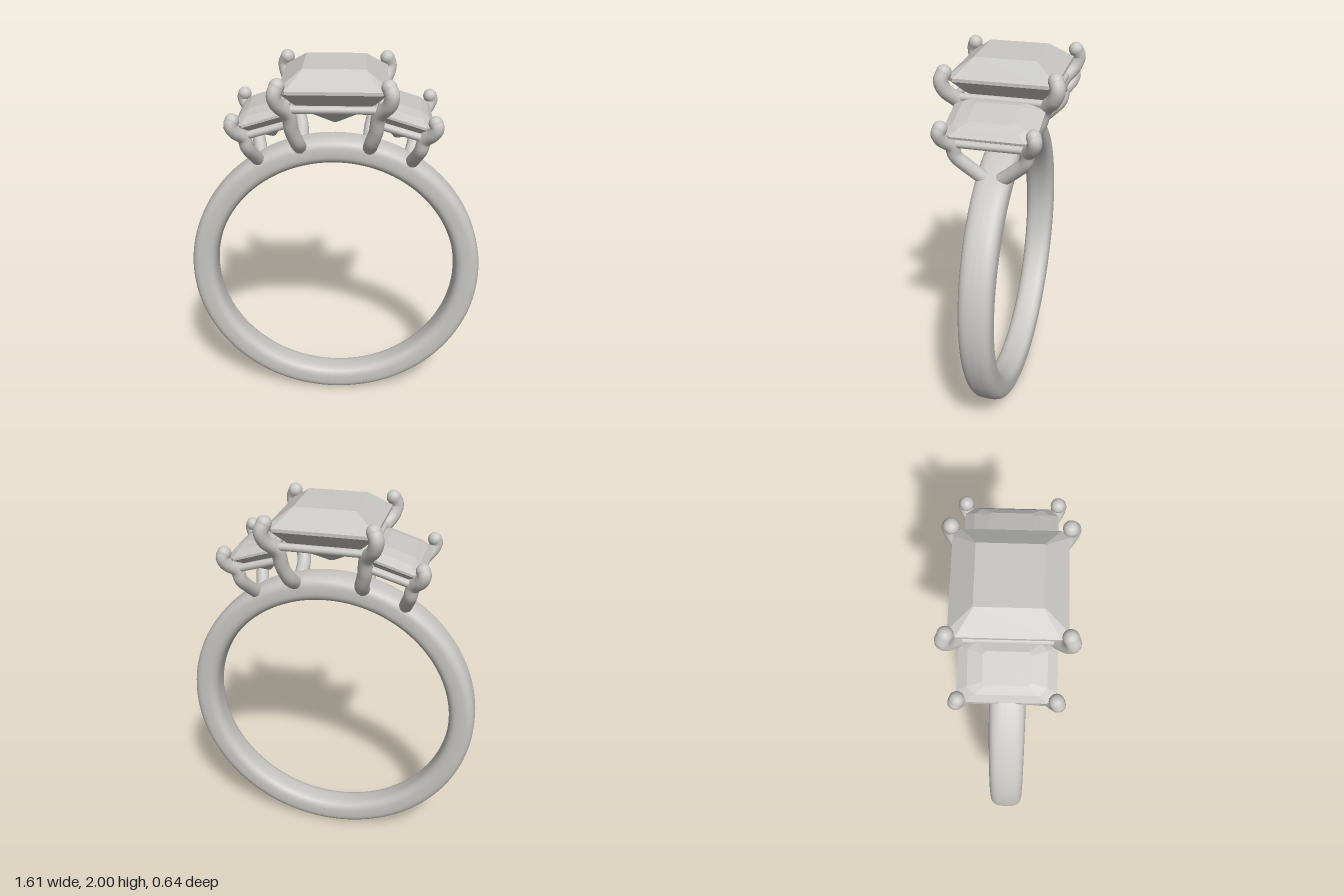
import * as THREE from 'three';

const metal = new THREE.MeshStandardMaterial({ color: 0xc8c7c3 });
metal.name = 'silver grey';

function addMesh(parent, name, geometry) {
  const mesh = new THREE.Mesh(geometry, metal);
  mesh.name = name;
  parent.add(mesh);
  return mesh;
}

// Band: rounded profile revolved, slightly wider towards the top
function bandGeometry() {
  const profile = [], n = 40;
  const power = (v) => Math.sign(v) * Math.pow(Math.abs(v), 2 / 3);
  for (let i = 0; i <= n; i++) {
    const a = (i / n) * Math.PI * 2;
    profile.push(new THREE.Vector2(0.736 + 0.07 * power(Math.cos(a)), power(Math.sin(a))));
  }
  const g = new THREE.LatheGeometry(profile, 128);
  g.rotateX(Math.PI / 2);
  g.translate(0, 0.806, 0);
  const p = g.attributes.position;
  for (let i = 0; i < p.count; i++) p.setZ(i, p.getZ(i) * (0.078 + 0.0085 * p.getY(i)));
  g.computeVertexNormals();
  return g;
}

// Step-cut stone: cut-corner rectangles [height, halfX, halfZ, cut], bottom to top
function gemGeometry(levels) {
  const rings = levels.map(([y, w, d, c]) => [
    [w, y, -d + c], [w, y, d - c], [w - c, y, d], [-w + c, y, d],
    [-w, y, d - c], [-w, y, -d + c], [-w + c, y, -d], [w - c, y, -d],
  ]);
  const verts = [];
  const tri = (a, b, c) => verts.push(...a, ...b, ...c);
  for (let k = 0; k + 1 < rings.length; k++) {
    for (let i = 0; i < 8; i++) {
      const j = (i + 1) % 8, lo = rings[k], hi = rings[k + 1];
      tri(lo[i], hi[i], hi[j]);
      tri(lo[i], hi[j], lo[j]);
    }
  }
  const bottom = rings[0], top = rings[rings.length - 1];
  for (let i = 1; i < 7; i++) {
    tri(bottom[0], bottom[i], bottom[i + 1]);
    tri(top[0], top[i + 1], top[i]);
  }
  const g = new THREE.BufferGeometry();
  g.setAttribute('position', new THREE.Float32BufferAttribute(verts, 3));
  g.computeVertexNormals();
  return g;
}

// Prong: curved wire with a rounded end at both tips
function addProng(parent, name, points, radius, sx, sz) {
  const group = new THREE.Group();
  group.name = name;
  const path = points.map(([x, y, z]) => new THREE.Vector3(x * sx, y, z * sz));
  const curve = new THREE.CatmullRomCurve3(path);
  addMesh(group, name + 'Wire', new THREE.TubeGeometry(curve, 40, radius, 14));
  for (const end of [path[0], path[path.length - 1]]) {
    addMesh(group, name + 'Tip', new THREE.SphereGeometry(radius * 1.02, 16, 12)).position.copy(end);
  }
  parent.add(group);
}

// Straight round bar between two points
function addBar(parent, name, a, b, radius) {
  const line = new THREE.LineCurve3(new THREE.Vector3(...a), new THREE.Vector3(...b));
  addMesh(parent, name, new THREE.TubeGeometry(line, 1, radius, 12));
}

export function createModel() {
  const ring = new THREE.Group();
  ring.name = 'threeStoneRing';
  const body = new THREE.Group();
  body.name = 'ringBody';
  body.position.z = -0.012;
  ring.add(body);

  addMesh(body, 'band', bandGeometry());

  // Large square centre stone
  addMesh(body, 'centreStone', gemGeometry([
    [1.685, 0.012, 0.012, 0.003],
    [1.765, 0.125, 0.125, 0.015],
    [1.835, 0.205, 0.205, 0.025],
    [1.903, 0.267, 0.267, 0.035],
    [1.92, 0.267, 0.267, 0.035],
    [2.0, 0.155, 0.155, 0.004],
  ]));

  const centreProng = [
    [0.18, 1.565, 0.065], [0.187, 1.615, 0.14], [0.21, 1.70, 0.185],
    [0.222, 1.79, 0.215], [0.27, 1.86, 0.27], [0.28, 1.91, 0.285], [0.265, 1.948, 0.272],
  ];
  const sideProng = [
    [0.395, 1.475, 0.04], [0.415, 1.535, 0.11], [0.437, 1.60, 0.172],
    [0.45, 1.655, 0.185], [0.49, 1.70, 0.22], [0.505, 1.735, 0.23], [0.497, 1.758, 0.222],
  ];

  for (const s of [1, -1]) {
    const side = s > 0 ? 'left' : 'right';

    // Tilted rectangular side stone
    const stone = addMesh(body, side + 'Stone', gemGeometry([
      [-0.14, 0.008, 0.08, 0.002],
      [-0.085, 0.075, 0.145, 0.02],
      [-0.04, 0.12, 0.19, 0.035],
      [-0.012, 0.152, 0.226, 0.045],
      [0, 0.152, 0.226, 0.045],
      [0.025, 0.118, 0.18, 0.035],
      [0.04, 0.076, 0.11, 0.015],
    ]));
    stone.position.set(0.352 * s, 1.764, 0);
    stone.rotation.z = -0.3 * s;

    for (const f of [1, -1]) {
      const end = f > 0 ? 'Front' : 'Back';
      addProng(body, side + end + 'CentreProng', centreProng, 0.037, s, f);
      addProng(body, side + end + 'SideProng', sideProng, 0.035, s, f);
      // Rail from the side prong to the centre prong
      addBar(body, side + end + 'SideRail', [0.45 * s, 1.665, 0.188 * f], [0.212 * s, 1.735, 0.188 * f], 0.02);
    }

    // Cross rails running front to back
    addBar(body, side + 'OuterRail', [0.45 * s, 1.668, -0.188], [0.45 * s, 1.668, 0.188], 0.02);
    addBar(body, side + 'CentreRail', [0.235 * s, 1.82, -0.23], [0.235 * s, 1.82, 0.23], 0.02);
  }

  // Front and back rails under the centre stone
  for (const f of [1, -1]) {
    addBar(body, f > 0 ? 'frontCentreRail' : 'backCentreRail', [-0.235, 1.82, 0.23 * f], [0.235, 1.82, 0.23 * f], 0.02);
  }
  return ring;
}
